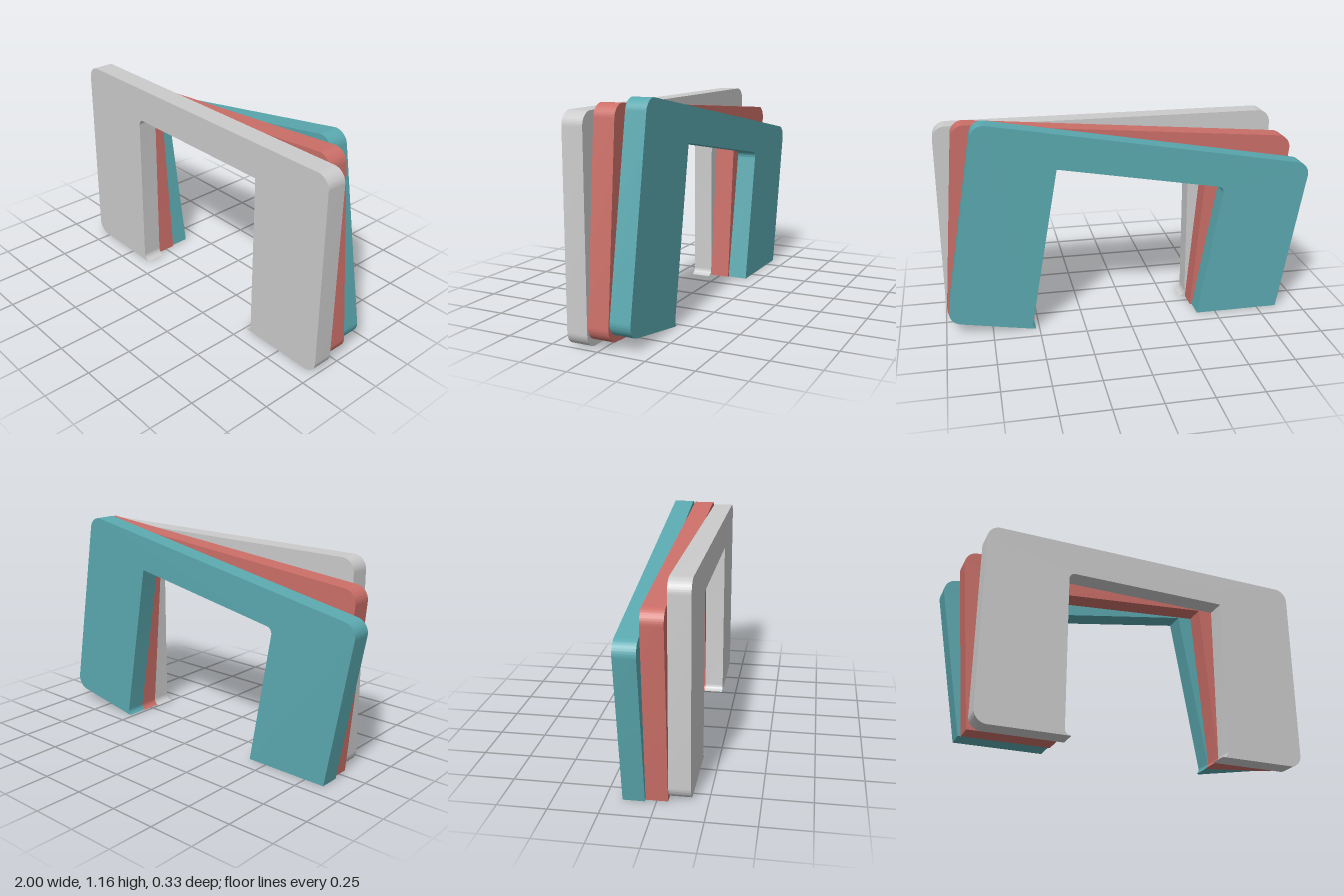
import * as THREE from 'three';
import { toCreasedNormals } from 'three/addons/utils/BufferGeometryUtils.js';

const LEFT = -1.38, RIGHT = 0.457, TOP = 1.105; // outer outline, measured from the pivot
const HOLE_LEFT = -0.92, HOLE_TOP = 0.92;       // doorway; its right edge is x = 0
const R = 0.07, r = 0.035;                      // outer and inner corner radii
const DEPTH = 0.11, PIVOT_X = 0.54;

// Arch outline tilted by angle about the inner foot of the right leg, cut off at the ground
function archShape(angle) {
  const t = Math.tan(angle);
  const H = Math.PI / 2;
  const s = new THREE.Shape();

  // left leg foot: rounded when upright, cut along the ground when tilted
  if (angle === 0) {
    s.moveTo(HOLE_LEFT, r);
    s.absarc(HOLE_LEFT + r, r, r, Math.PI, 3 * H, false);
    s.lineTo(LEFT + R, 0);
    s.absarc(LEFT + R, R, R, 3 * H, Math.PI, true);
  } else {
    s.moveTo(HOLE_LEFT, -HOLE_LEFT * t);
    s.lineTo(LEFT, -LEFT * t);
  }

  // outer top corners and right foot
  s.lineTo(LEFT, TOP - R);
  s.absarc(LEFT + R, TOP - R, R, Math.PI, H, true);
  s.lineTo(RIGHT - R, TOP);
  s.absarc(RIGHT - R, TOP - R, R, H, 0, true);
  s.lineTo(RIGHT, R);
  s.absarc(RIGHT - R, R, R, 0, -H, true);
  s.lineTo(0, 0);

  // small flare at the inner foot, trimmed where it meets the ground
  const u = -t + Math.sqrt(t * t + 2 * t);
  s.absarc(-r, r, r, -H + u, 0, false);

  // doorway: square right corner, rounded left corner
  s.lineTo(0, HOLE_TOP);
  s.lineTo(HOLE_LEFT + r, HOLE_TOP);
  s.absarc(HOLE_LEFT + r, HOLE_TOP - r, r, H, Math.PI, false);
  s.closePath();
  return s;
}

export function createModel() {
  const group = new THREE.Group();
  const layers = [
    { name: 'frontArch', color: 0xcccccc, degrees: 0 },
    { name: 'middleArch', color: 0xcc6f68, degrees: 5 },
    { name: 'backArch', color: 0x5aa9b0, degrees: 10 },
  ];
  layers.forEach(({ name, color, degrees }, i) => {
    const angle = THREE.MathUtils.degToRad(degrees);
    const geometry = new THREE.ExtrudeGeometry(archShape(angle), {
      depth: DEPTH, bevelEnabled: false, curveSegments: 16,
    });
    const arch = new THREE.Mesh(
      toCreasedNormals(geometry, Math.PI / 6),
      new THREE.MeshStandardMaterial({ color }),
    );
    arch.name = name;
    arch.rotation.z = angle;
    arch.position.set(PIVOT_X, 0, DEPTH * (0.5 - i));
    group.add(arch);
  });
  return group;
}
